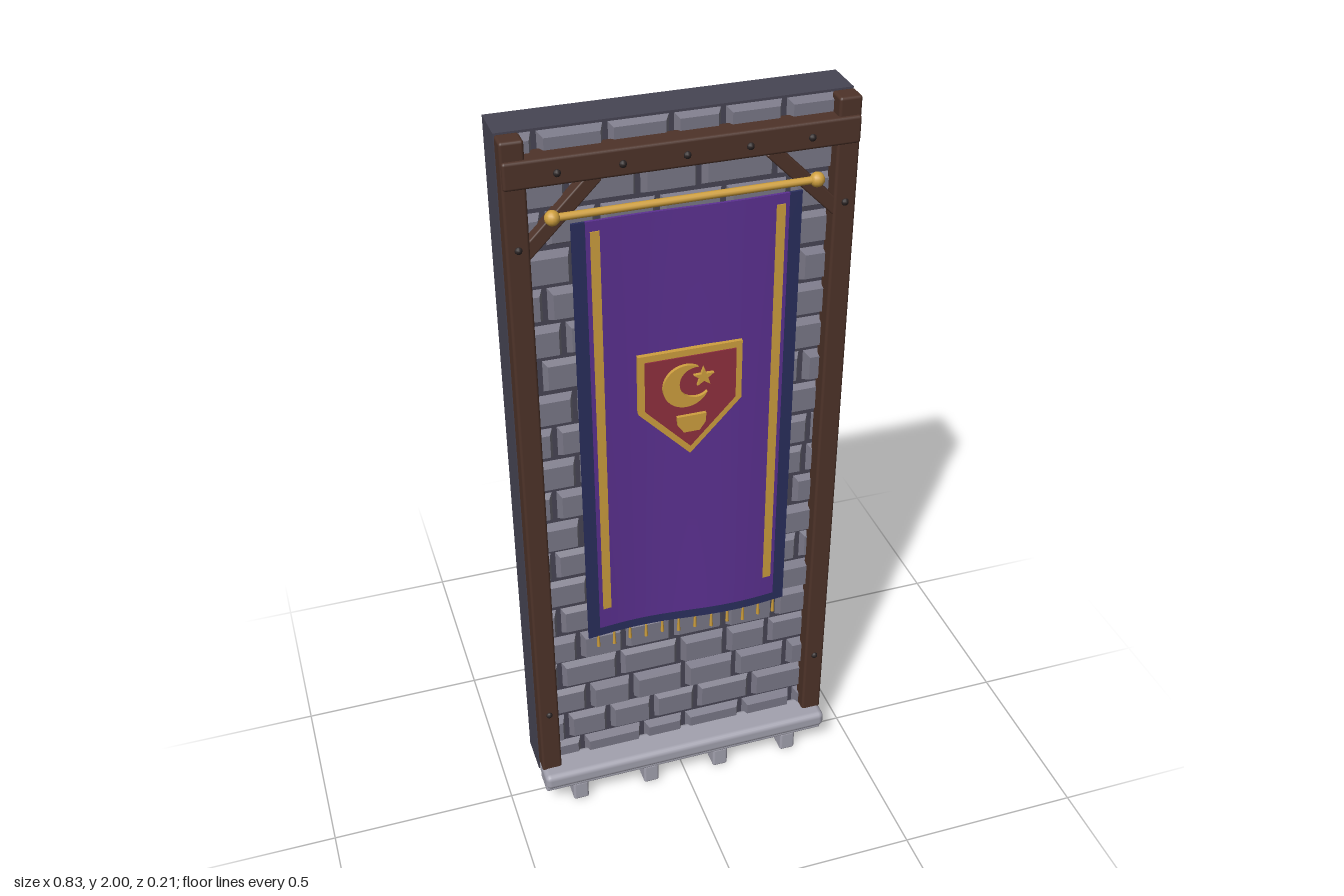
import * as THREE from 'three';
import { RoundedBoxGeometry } from 'three/addons/geometries/RoundedBoxGeometry.js';

const material = (name, color, side = THREE.FrontSide) => {
  const m = new THREE.MeshStandardMaterial({ color, side });
  m.name = name;
  return m;
};

export function createModel() {
  const mats = {
    mortar: material('dark mortar', 0x474554),
    brick: material('grey stone', 0x7a7887),
    sill: material('pale stone', 0xa3a2af),
    wood: material('dark wood', 0x4e3329),
    iron: material('dark iron', 0x2b2424),
    gold: material('gold', 0xcfa03f),
    purple: material('purple cloth', 0x5c3192, THREE.DoubleSide),
    navy: material('navy cloth', 0x2a2f5e, THREE.DoubleSide),
    red: material('crimson', 0x91303f),
  };
  const model = new THREE.Group();
  model.name = 'bannerWall';

  const add = (name, geo, mat, x = 0, y = 0, z = 0, parent = model) => {
    const mesh = new THREE.Mesh(geo, mat);
    mesh.name = name;
    mesh.position.set(x, y, z);
    parent.add(mesh);
    return mesh;
  };
  const group = (name) => {
    const g = new THREE.Group();
    g.name = name;
    model.add(g);
    return g;
  };
  // rounded block given by its limits
  const block = (name, mat, [x0, x1], [y0, y1], [z0, z1], r, parent) =>
    add(name, new RoundedBoxGeometry(x1 - x0, y1 - y0, z1 - z0, 2, r), mat,
      (x0 + x1) / 2, (y0 + y1) / 2, (z0 + z1) / 2, parent);

  // Wall core
  add('wallCore', new THREE.BoxGeometry(0.83, 1.915, 0.105), mats.mortar, 0, 1.0425, -0.0525);

  // Bricks: boxes whose front face is drawn in to form a bevel
  const brickGeo = (w, h, d) => {
    const g = new THREE.BoxGeometry(w, h, d).toNonIndexed();
    const p = g.attributes.position;
    for (let i = 0; i < p.count; i++) {
      if (p.getZ(i) > 0) {
        p.setX(i, p.getX(i) - Math.sign(p.getX(i)) * 0.01);
        p.setY(i, p.getY(i) - Math.sign(p.getY(i)) * 0.01);
      }
    }
    g.computeVertexNormals();
    return g;
  };
  let seed = 17;
  const random = () => (seed = (seed * 16807) % 2147483647) / 2147483647;
  const bricks = group('bricks');
  const rows = 20, pitch = 1.915 / rows, gap = 0.012;
  for (let r = 0; r < rows; r++) {
    let x = -0.415;
    let w = r % 2 ? 0.07 + random() * 0.03 : 0.13 + random() * 0.04;
    while (x < 0.41) {
      let end = x + w;
      if (end > 0.36) end = 0.415;
      const depth = 0.014 + random() * 0.011;
      add('brick', brickGeo(end - x - gap, pitch - gap, depth), mats.brick,
        (x + end) / 2, 0.085 + (r + 0.5) * pitch, depth / 2, bricks);
      x = end;
      w = 0.12 + random() * 0.065;
    }
  }

  // Timber frame with braces and pegs
  const frame = group('timberFrame');
  const peg = (x, y, z) => {
    const m = add('peg', new THREE.SphereGeometry(0.009, 10, 6), mats.iron, x, y, z, frame);
    m.scale.z = 0.8;
  };
  for (const s of [-1, 1]) {
    block('post', mats.wood, s < 0 ? [-0.415, -0.36] : [0.36, 0.415], [0.125, 2], [0.005, 0.055], 0.007, frame);
    const brace = add('brace', new RoundedBoxGeometry(0.24, 0.034, 0.035, 2, 0.004), mats.wood,
      s * 0.288, 1.81, 0.033, frame);
    brace.rotation.z = -s * Math.PI / 4;
    for (const y of [0.335, 1.745]) peg(s * 0.387, y, 0.056);
  }
  block('crossBeam', mats.wood, [-0.413, 0.413], [1.89, 1.956], [0.002, 0.063], 0.007, frame);
  for (let i = -2; i <= 2; i++) peg(i * 0.147, 1.92, 0.064);

  // Stone sill on four corbels
  const sill = group('sill');
  block('sillTop', mats.sill, [-0.415, 0.415], [0.083, 0.132], [0, 0.094], 0.016, sill);
  block('sillBase', mats.sill, [-0.412, 0.412], [0.06, 0.084], [0.005, 0.074], 0.006, sill);
  for (const x of [-0.312, -0.104, 0.104, 0.312]) {
    block('corbel', mats.sill, [x - 0.022, x + 0.022], [0, 0.064], [0.014, 0.072], 0.007, sill);
  }

  // Hanging rod
  const rod = group('rod');
  add('rodBar', new THREE.CylinderGeometry(0.009, 0.009, 0.62, 12), mats.gold, 0, 1.817, 0.065, rod)
    .rotation.z = Math.PI / 2;
  for (const s of [-1, 1]) {
    add('rodKnob', new THREE.SphereGeometry(0.018, 14, 10), mats.gold, s * 0.31, 1.817, 0.065, rod);
  }

  // Banner cloth: panels bent along one gentle fold that deepens downwards
  const foldZ = (x, y) => 0.072 + 0.009 * Math.sin(x * 12) * (0.35 + 0.65 * (1.8 - y) / 1.2);
  const banner = group('banner');
  const cloth = (name, mat, [x0, x1], [y0, y1], lift, thick) => {
    const g = new THREE.BoxGeometry(x1 - x0, y1 - y0, thick, Math.ceil((x1 - x0) / 0.025), 16, 1);
    g.translate((x0 + x1) / 2, (y0 + y1) / 2, lift);
    const p = g.attributes.position;
    for (let i = 0; i < p.count; i++) p.setZ(i, p.getZ(i) + foldZ(p.getX(i), p.getY(i)));
    g.computeVertexNormals();
    add(name, g, mat, 0, 0, 0, banner);
  };
  cloth('bannerBorder', mats.navy, [-0.272, 0.272], [0.597, 1.8], 0, 0.006);
  cloth('bannerField', mats.purple, [-0.24, 0.24], [0.625, 1.801], 0.002, 0.007);
  for (const s of [-1, 1]) {
    cloth('bannerStripe', mats.gold, s < 0 ? [-0.23, -0.208] : [0.208, 0.23], [0.688, 1.776], 0.005, 0.006);
  }
  for (let i = 0; i < 12; i++) {
    const x = -0.245 + i * 0.0445;
    add('fringe', new THREE.CylinderGeometry(0.003, 0.005, 0.04, 6), mats.gold,
      x, 0.58 - (i % 2) * 0.006, foldZ(x, 0.6), banner);
  }

  // Shield with crescent, star and bowl
  const emblem = group('emblem');
  const plate = (name, mat, shape, z, depth) =>
    add(name, new THREE.ExtrudeGeometry(shape, { depth, bevelEnabled: false, curveSegments: 20 }), mat, 0, 0, z, emblem);
  const polygon = (pts) => new THREE.Shape(pts.map(([x, y]) => new THREE.Vector2(x, y)));
  const shield = (w, top, side, tip) => polygon([[-w, top], [-w, side], [0, tip], [w, side], [w, top]]);
  plate('shieldRim', mats.gold, shield(0.13, 1.442, 1.282, 1.145), 0.08, 0.012);
  plate('shieldField', mats.red, shield(0.114, 1.425, 1.289, 1.168), 0.086, 0.009);

  // crescent: outer circle less a smaller circle shifted up and to the right
  const crescent = new THREE.Shape();
  const R = 0.058, r = 0.042, shift = 0.026, tilt = 0.3;
  const along = (R * R - r * r + shift * shift) / (2 * shift);
  const a = Math.acos(along / R), b = Math.acos((along - shift) / r);
  crescent.absarc(-0.014, 1.348, R, tilt + a, tilt - a + Math.PI * 2, false);
  crescent.absarc(-0.014 + shift * Math.cos(tilt), 1.348 + shift * Math.sin(tilt), r,
    tilt - b + Math.PI * 2, tilt + b, true);
  plate('crescent', mats.gold, crescent, 0.094, 0.01);

  const starPoints = [];
  for (let i = 0; i < 10; i++) {
    const t = Math.PI / 2 + i * Math.PI / 5, q = i % 2 ? 0.011 : 0.027;
    starPoints.push([0.03 + q * Math.cos(t), 1.366 + q * Math.sin(t)]);
  }
  plate('star', mats.gold, polygon(starPoints), 0.094, 0.01);
  plate('bowl', mats.gold, polygon([[-0.037, 1.263], [-0.035, 1.238], [-0.02, 1.217],
    [0.02, 1.217], [0.035, 1.238], [0.037, 1.263]]), 0.094, 0.01);

  return model;
}
